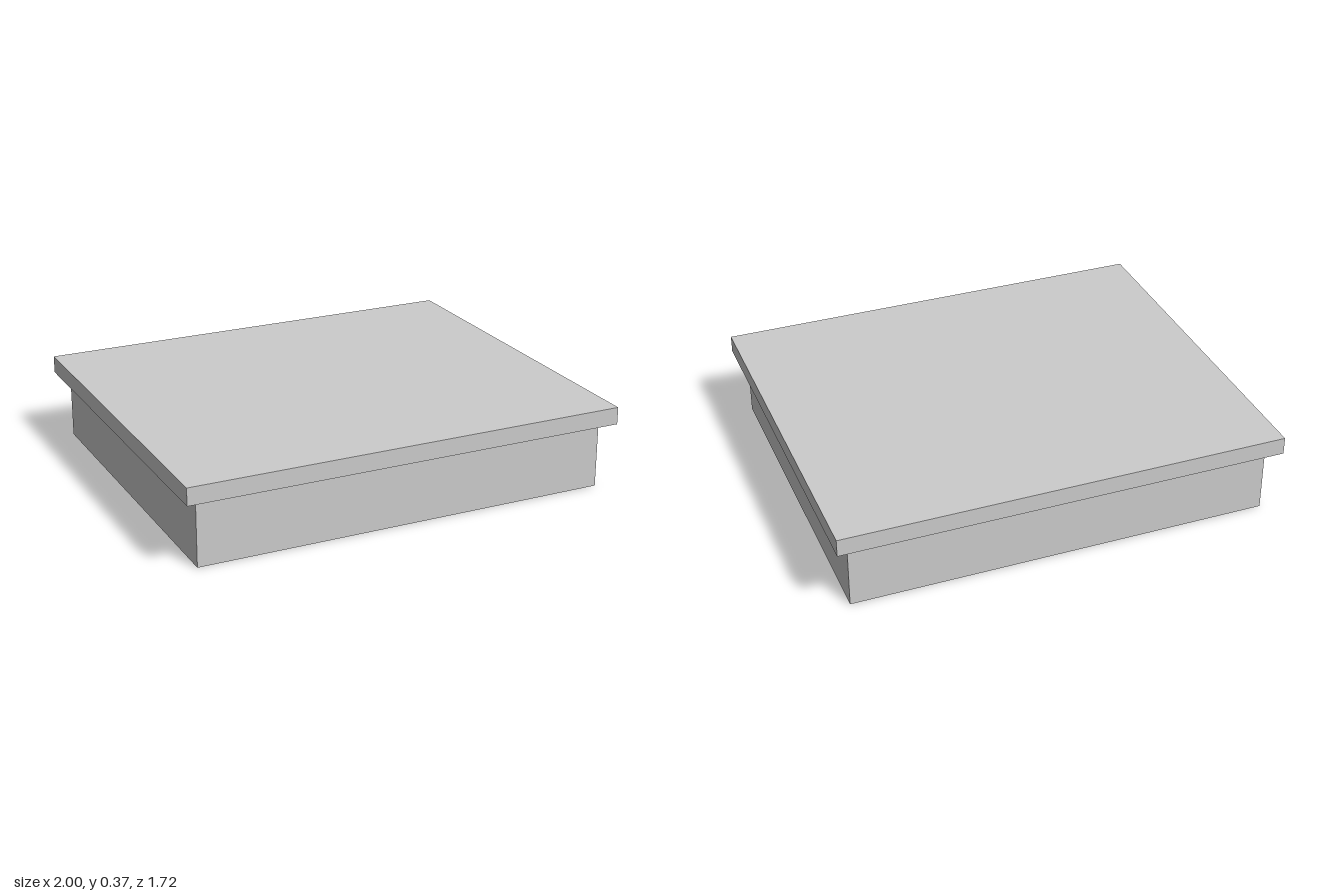
import * as THREE from 'three';

export function createModel() {
  const model = new THREE.Group();
  const material = new THREE.MeshStandardMaterial({ color: 0xcccccc, flatShading: true });

  // A box standing on height y
  const addBlock = (name, width, height, depth, y) => {
    const mesh = new THREE.Mesh(new THREE.BoxGeometry(width, height, depth), material);
    mesh.name = name;
    mesh.position.y = y + height / 2;
    model.add(mesh);
  };

  // Plinth body and its overhanging slab
  addBlock('base', 1.81, 0.29, 1.515, 0);
  addBlock('topSlab', 1.92, 0.075, 1.625, 0.29);

  // The whole block is turned slightly off the axes
  model.name = 'plinth';
  model.rotation.y = -0.0505;
  return model;
}
